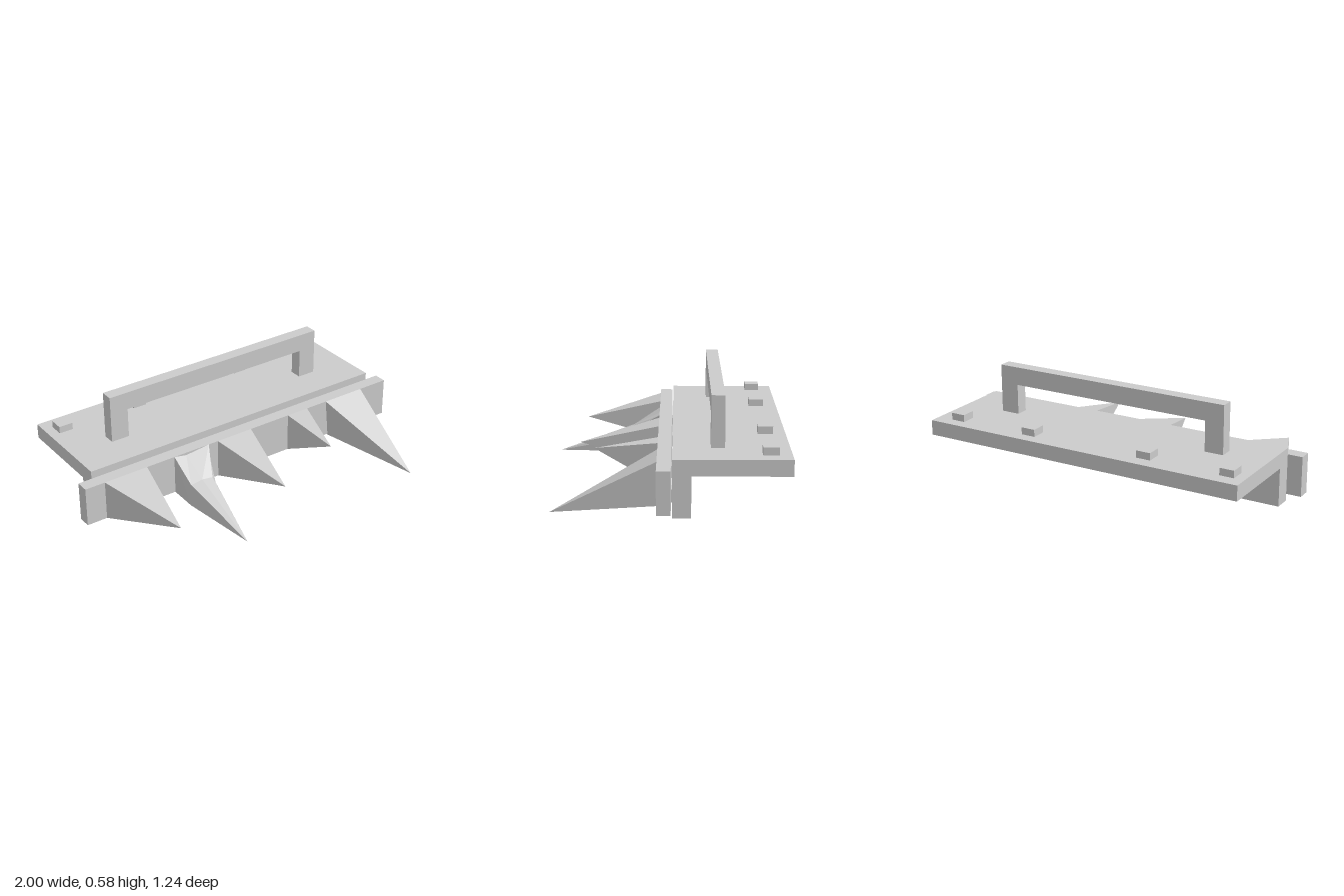
import * as THREE from 'three';

const grey = new THREE.MeshStandardMaterial({ color: 0xcccccc, flatShading: true, side: THREE.DoubleSide });

export function createModel() {
  const model = new THREE.Group();

  function add(name, geometry) {
    const mesh = new THREE.Mesh(geometry, grey);
    mesh.name = name;
    model.add(mesh);
    return mesh;
  }

  // Box given by its limits on each axis
  function box(name, x0, x1, y0, y1, z0, z1) {
    add(name, new THREE.BoxGeometry(x1 - x0, y1 - y0, z1 - z0))
      .position.set((x0 + x1) / 2, (y0 + y1) / 2, (z0 + z1) / 2);
  }

  function extrude(points, depth) {
    const shape = new THREE.Shape(points.map(([x, y]) => new THREE.Vector2(x, y)));
    return new THREE.ExtrudeGeometry(shape, { depth, bevelEnabled: false });
  }

  // Skin between matching rings, each counterclockwise from the front, closing on a tip
  function spike(name, rings, tip) {
    const pos = [];
    rings.forEach((ring, r) => ring.forEach((a, i) => {
      const j = (i + 1) % ring.length;
      const b = ring[j], next = rings[r + 1];
      if (next) pos.push(...a, ...b, ...next[j], ...a, ...next[j], ...next[i]);
      else pos.push(...a, ...b, ...tip);
    }));
    const geometry = new THREE.BufferGeometry();
    geometry.setAttribute('position', new THREE.Float32BufferAttribute(pos, 3));
    geometry.computeVertexNormals();
    add(name, geometry);
  }

  // Angled mounting bracket: profile in (z, y), swept along x
  const bracket = extrude([
    [-0.625, 0.235], [-0.13, 0.235], [-0.13, 0.025], [-0.037, 0.025], [-0.037, 0.318], [-0.625, 0.318],
  ], 1.845);
  bracket.rotateY(-Math.PI / 2).translate(0.925, 0, 0);
  add('bracket', bracket);

  // Handle arch
  const handle = extrude([
    [-0.68, 0.318], [-0.575, 0.318], [-0.575, 0.485], [0.58, 0.485],
    [0.58, 0.318], [0.685, 0.318], [0.685, 0.585], [-0.68, 0.585],
  ], 0.07);
  handle.translate(0, 0, -0.3);
  add('handle', handle);

  // Bolts on top, and thin pads joining the bracket to the spike bar
  for (const [x, z] of [[-0.825, -0.51], [-0.358, -0.51], [0.335, -0.52], [0.795, -0.52]]) {
    box('bolt', x - 0.04, x + 0.04, 0.315, 0.357, z - 0.04, z + 0.04);
    box('pad', x - 0.04, x + 0.04, 0.08, 0.145, -0.045, -0.025);
  }

  // Bar carrying the spikes
  box('spikeBar', -1, 1, 0.06, 0.28, -0.031, 0.04);

  // Straight spikes: base from x0 to x1, then the tip
  const spikes = [
    [-0.885, -0.63, [-0.705, 0.17, 0.475]],
    [-0.18, 0.04, [-0.05, 0.17, 0.475]],
    [0.295, 0.43, [0.335, 0.23, 0.375]],
    [0.565, 0.82, [0.755, 0.005, 0.575]],
  ];
  for (const [x0, x1, tip] of spikes) {
    const low = tip[1] < 0.06 ? -0.03 : 0.04;
    spike('spike', [[[x0, 0.06, low], [x1, 0.06, low], [x1, 0.28, 0.04], [x0, 0.28, 0.04]]], tip);
  }

  // Irregular spike with a bent middle
  spike('bentSpike', [
    [[-0.46, 0.06, 0.02], [-0.26, 0.06, 0.02], [-0.24, 0.23, 0.04], [-0.24, 0.28, 0.04], [-0.385, 0.265, 0.04], [-0.46, 0.28, 0.04]],
    [[-0.46, 0.055, 0.19], [-0.3, 0.055, 0.19], [-0.3, 0.14, 0.19], [-0.32, 0.18, 0.19], [-0.385, 0.19, 0.19], [-0.455, 0.18, 0.19]],
  ], [-0.395, 0.04, 0.615]);

  return model;
}
